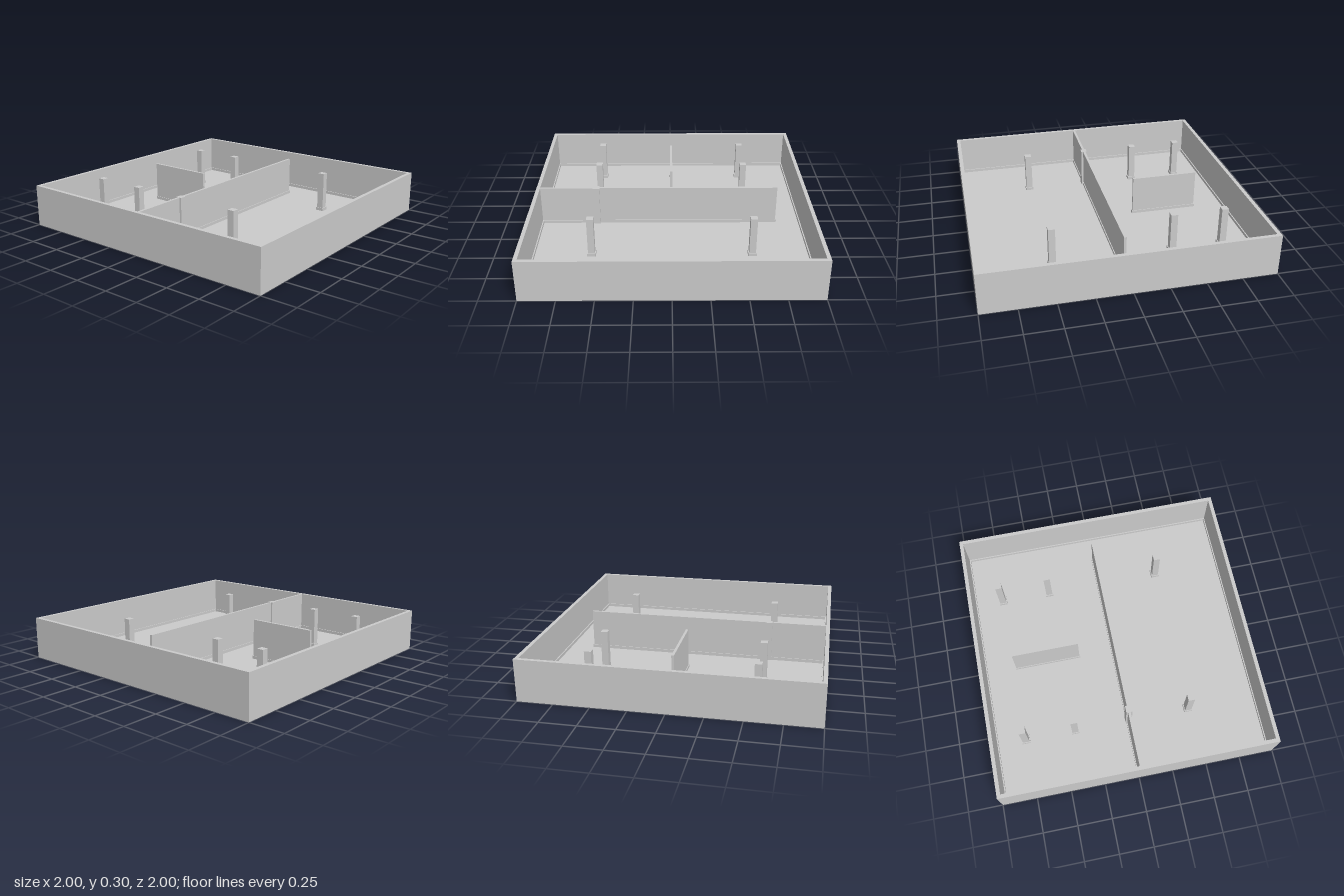
import * as THREE from 'three';

const material = new THREE.MeshStandardMaterial({ color: 0xcccccc, flatShading: true });
const HEIGHT = 0.3, FLOOR = 0.006, SKIRT = 0.022;

// Box given by its centre in plan, its size in plan and its bottom and top heights
function block(name, x, z, w, d, y0, y1) {
  const mesh = new THREE.Mesh(new THREE.BoxGeometry(w, y1 - y0, d), material);
  mesh.name = name;
  mesh.position.set(x, (y0 + y1) / 2, z);
  return mesh;
}

// Square ring of walls between two half widths
function ring(name, outer, inner, y0, y1) {
  const square = (Type, r) => new Type([[-r, -r], [r, -r], [r, r], [-r, r]].map(([x, y]) => new THREE.Vector2(x, y)));
  const shape = square(THREE.Shape, outer);
  shape.holes.push(square(THREE.Path, inner));
  const geometry = new THREE.ExtrudeGeometry(shape, { depth: y1 - y0, bevelEnabled: false });
  geometry.rotateX(-Math.PI / 2).translate(0, y0, 0);
  const mesh = new THREE.Mesh(geometry, material);
  mesh.name = name;
  return mesh;
}

// Upright with a slightly wider skirting around its foot
function skirted(name, x, z, w, d, lip, top = HEIGHT) {
  const group = new THREE.Group();
  group.name = name;
  group.add(block('upright', x, z, w, d, FLOOR, top));
  group.add(block('skirting', x, z, w + 2 * lip, d + 2 * lip, FLOOR, FLOOR + SKIRT));
  return group;
}

export function createModel() {
  const model = new THREE.Group();
  model.name = 'roomModel';

  // Shell: floor slab, outer walls and their inner skirting
  model.add(block('floor', 0, 0, 2, 2, 0, FLOOR));
  model.add(ring('outerWalls', 1, 0.973, FLOOR, HEIGHT));
  model.add(ring('wallSkirting', 0.974, 0.965, FLOOR, FLOOR + SKIRT));

  // Long partition joined to the front wall, and the short free-standing one
  model.add(skirted('longPartition', 0.008, 0.0925, 0.018, 1.765, 0.006, HEIGHT - 0.001));
  model.add(skirted('shortPartition', -0.5, -0.002, 0.49, 0.018, 0.005));

  // Two rows of columns
  for (const z of [-0.57, 0.564]) {
    for (const x of [-0.762, -0.393, 0.463]) model.add(skirted('column', x, z, 0.048, 0.048, 0.006));
  }

  // Column built into the long partition
  model.add(block('partitionColumn', 0.009, 0.56, 0.045, 0.05, FLOOR, HEIGHT));
  return model;
}
